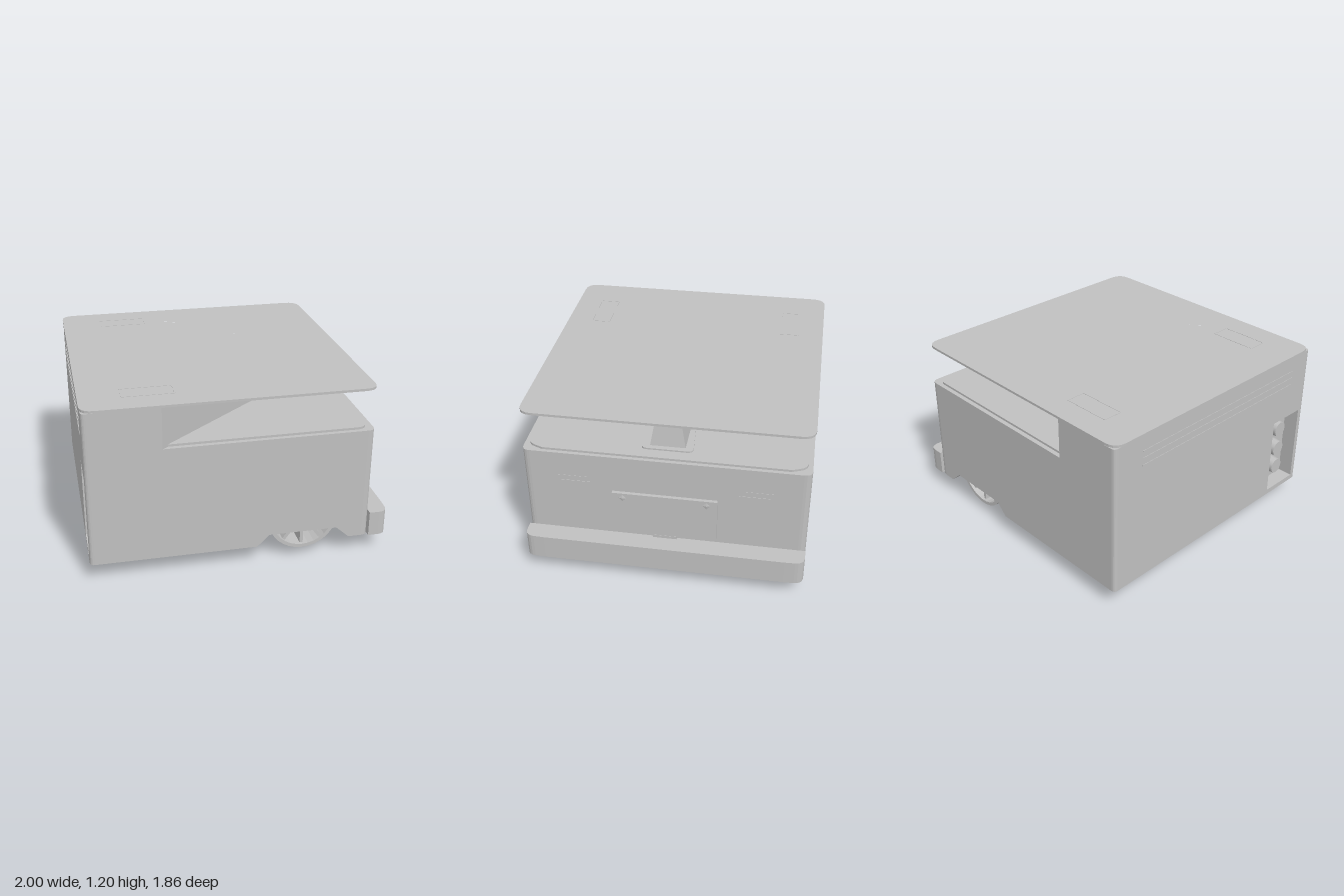
import * as THREE from 'three';

const grey = new THREE.MeshStandardMaterial({ color: 0xc0c0c0 });
grey.name = 'plain grey';

export function createModel() {
  const model = new THREE.Group();
  model.name = 'mobileBase';

  function add(name, geometry, x = 0, y = 0, z = 0, parent = model) {
    const mesh = new THREE.Mesh(geometry, grey);
    mesh.name = name;
    mesh.position.set(x, y, z);
    parent.add(mesh);
    return mesh;
  }
  // Box given by its limits on each axis
  const box = (name, x0, x1, y0, y1, z0, z1, parent) =>
    add(name, new THREE.BoxGeometry(x1 - x0, y1 - y0, z1 - z0),
      (x0 + x1) / 2, (y0 + y1) / 2, (z0 + z1) / 2, parent);

  // Polygon of [x, z, cornerRadius], drawn in plan
  function plan(points) {
    const shape = new THREE.Shape();
    const n = points.length;
    points.forEach(([x, z, r = 0], i) => {
      const p = new THREE.Vector2(x, -z);
      const toward = (q) => new THREE.Vector2(q[0], -q[1]).sub(p).setLength(r).add(p);
      const a = toward(points[(i + n - 1) % n]);
      const b = toward(points[(i + 1) % n]);
      if (i === 0) shape.moveTo(a.x, a.y); else shape.lineTo(a.x, a.y);
      if (r > 0) shape.quadraticCurveTo(p.x, p.y, b.x, b.y);
    });
    shape.closePath();
    return shape;
  }
  function rise(name, shape, y0, y1) {
    const g = new THREE.ExtrudeGeometry(shape, { depth: y1 - y0, bevelEnabled: false, curveSegments: 5 });
    g.rotateX(-Math.PI / 2);
    return add(name, g, 0, y0, 0);
  }
  function circle(x, z, r) {
    const path = new THREE.Path();
    path.absarc(x, -z, r, 0, Math.PI * 2, true);
    return path;
  }

  // Body footprint, with an optional connector recess and wheel openings
  const W = 0.93;
  function footprint({ recess = false, arches = false, pockets = false, casterHole = false }) {
    const arch = (s) => [[0.1, W * s], [0.1, 0.68 * s], [0.73, 0.68 * s], [0.73, W * s]];
    const pts = [[-0.995, -W, 0.03]];
    if (arches) pts.push(...arch(-1));
    pts.push([0.865, -W, 0.05], [0.865, W, 0.05]);
    if (arches) pts.push(...arch(1).reverse());
    pts.push([-0.995, W, 0.03]);
    if (recess) pts.push([-0.995, 0.88], [-0.89, 0.88], [-0.89, 0.6], [-0.995, 0.6]);
    const shape = plan(pts);
    if (casterHole) shape.holes.push(circle(-0.79, 0, 0.18));
    if (pockets) for (const s of [-1, 1]) {
      shape.holes.push(plan([[0.17, 0.69 * s], [0.67, 0.69 * s], [0.67, 0.91 * s], [0.17, 0.91 * s]]));
    }
    return shape;
  }
  rise('bodyFloor', footprint({ arches: true, casterHole: true }), 0.13, 0.165);
  rise('bodySkirt', footprint({ arches: true, casterHole: true, recess: true }), 0.165, 0.21);
  rise('bodyLower', footprint({ pockets: true, casterHole: true, recess: true }), 0.21, 0.56);
  rise('bodyMiddle', footprint({ recess: true }), 0.56, 0.72);
  rise('bodyUpper', footprint({}), 0.72, 0.905);

  // Slanted ends of the wheel arches
  for (const s of [-1, 1]) for (const [x0, x1] of [[0.1, 0.18], [0.73, 0.64]]) {
    const tri = new THREE.Shape([
      new THREE.Vector2(x0, 0.13), new THREE.Vector2(x1, 0.21), new THREE.Vector2(x0, 0.21)]);
    add('archSlope', new THREE.ExtrudeGeometry(tri, { depth: 0.25, bevelEnabled: false }),
      0, 0, s > 0 ? 0.68 : -W);
  }

  // Deck and the wedge-shaped rear housing that carries the plate
  rise('deck', plan([[-0.6, -0.9], [0.8, -0.9, 0.05], [0.84, -0.8], [0.84, 0.8], [0.8, 0.9, 0.05], [-0.6, 0.9]]), 0.905, 0.92);
  rise('rearHousing', plan([[-0.995, -W, 0.03], [-0.51, -W], [0.385, -0.18], [0.385, 0.18],
    [-0.51, W], [-0.995, W, 0.03]]), 0.905, 1.18);

  // Load plate with bolt holes
  const plate = plan([[-1, -W, 0.09], [0.87, -W, 0.09], [0.87, W, 0.09], [-1, W, 0.09]]);
  for (const s of [-1, 1]) {
    for (const [x, z] of [[-0.765, 0.7], [-0.24, 0.65], [-0.185, 0.6], [0.14, 0.315], [0.2, 0.27], [0.34, 0.033]]) {
      plate.holes.push(circle(x, z * s, 0.014));
    }
  }
  rise('topPlate', plate, 1.18, 1.196);
  // Outlined hatches on the plate
  for (const s of [-1, 1]) {
    const z0 = 0.625 * s, z1 = 0.755 * s, t = 0.003;
    for (const z of [z0, z1]) box('hatchLine', -0.73, -0.4, 1.196, 1.198, z - t, z + t);
    for (const x of [-0.73, -0.4]) box('hatchLine', x - t, x + t, 1.196, 1.198, Math.min(z0, z1), Math.max(z0, z1));
  }

  // Tapered sensor post: side profile, narrowing upward
  const post = new THREE.Shape();
  post.moveTo(0.4, 0.905);
  post.lineTo(0.73, 0.905);
  post.lineTo(0.69, 1.16);
  post.lineTo(0.52, 1.16);
  post.quadraticCurveTo(0.42, 1.15, 0.415, 1.04);
  post.closePath();
  const postGeometry = new THREE.ExtrudeGeometry(post, { depth: 2, bevelEnabled: false, curveSegments: 6 });
  postGeometry.translate(0, 0, -1);
  const pos = postGeometry.attributes.position;
  for (let i = 0; i < pos.count; i++) {
    const half = 0.12 - 0.045 * (pos.getY(i) - 0.905) / 0.255;
    pos.setZ(i, pos.getZ(i) * half);
  }
  postGeometry.computeVertexNormals();
  add('sensorPost', postGeometry);
  rise('postFoot', plan([[0.38, -0.14, 0.04], [0.76, -0.17, 0.04], [0.76, 0.17, 0.04], [0.38, 0.14, 0.04]]), 0.92, 0.93);

  // Front panel with corner studs, slots and catch
  box('frontPanel', 0.86, 0.888, 0.32, 0.64, -0.345, 0.345);
  box('panelCatch', 0.86, 0.89, 0.3, 0.32, -0.08, 0.08);
  for (const s of [-1, 1]) {
    const stud = add('panelStud', new THREE.OctahedronGeometry(0.026), 0.888, 0.605, 0.275 * s);
    stud.scale.x = 0.2;
    box('sensorSlot', 0.862, 0.868, 0.68, 0.695, 0.58 * s - 0.1, 0.58 * s + 0.1);
    box('slotLine', 0.862, 0.867, 0.727, 0.733, 0.6 * s - 0.1, 0.6 * s + 0.1);
  }

  // Bumper bar
  rise('bumper', plan([[0.87, -W], [0.995, -W, 0.06], [1, -0.8], [1, 0.8], [0.995, W, 0.06], [0.87, W]]), 0.122, 0.295);

  // Ribs under the floor between the wheels
  for (const x of [0.16, 0.36, 0.5, 0.68]) box('floorRib', x, x + 0.06, 0.122, 0.13, -0.67, 0.67);

  // Spoked drive wheels
  for (const s of [-1, 1]) {
    const wheel = new THREE.Group();
    wheel.name = 'driveWheel';
    wheel.position.set(0.42, 0.298, 0.805 * s);
    model.add(wheel);
    const ring = new THREE.Shape();
    ring.absarc(0, 0, 0.236, 0, Math.PI * 2, false);
    const inner = new THREE.Path();
    inner.absarc(0, 0, 0.212, 0, Math.PI * 2, true);
    ring.holes.push(inner);
    add('rim', new THREE.ExtrudeGeometry(ring, { depth: 0.17, bevelEnabled: false, curveSegments: 16 }), 0, 0, -0.085, wheel);
    const hub = add('hub', new THREE.CylinderGeometry(0.07, 0.07, 0.16, 16), 0, 0, 0, wheel);
    hub.rotation.x = Math.PI / 2;
    for (let i = 0; i < 10; i++) {
      const a = (i + 0.5) * Math.PI / 5;
      const spoke = add('spoke', new THREE.BoxGeometry(0.17, 0.022, 0.13), Math.cos(a) * 0.14, Math.sin(a) * 0.14, 0, wheel);
      spoke.rotation.z = a;
    }
  }

  // Rear caster: narrow tread, fork and swivel in the floor opening
  const tread = [[0.001, -0.065], [0.06, -0.065], [0.1, -0.045], [0.115, -0.03], [0.115, 0.03], [0.1, 0.045], [0.06, 0.065], [0.001, 0.065]];
  const caster = add('casterWheel', new THREE.LatheGeometry(tread.map(([r, h]) => new THREE.Vector2(r, h)), 18), -0.81, 0.115, 0);
  caster.rotation.x = Math.PI / 2;
  for (const s of [-1, 1]) box('casterFork', -0.86, -0.74, 0.08, 0.3, s * 0.075 - 0.008, s * 0.075 + 0.008);
  box('forkBridge', -0.87, -0.73, 0.28, 0.31, -0.083, 0.083);
  add('casterSwivel', new THREE.CylinderGeometry(0.05, 0.05, 0.27, 16), -0.8, 0.43, 0);

  // Round connectors in the rear recess
  for (const y of [0.29, 0.44, 0.6]) {
    const plug = add('connector', new THREE.CylinderGeometry(0.055, 0.06, 0.07, 12), -0.92, y, 0.74);
    plug.rotation.z = Math.PI / 2;
  }
  // Vent lines across the rear wall
  for (const y of [0.97, 1.02, 1.07]) box('ventLine', -0.998, -0.994, y, y + 0.008, -0.7, 0.75);

  return model;
}
